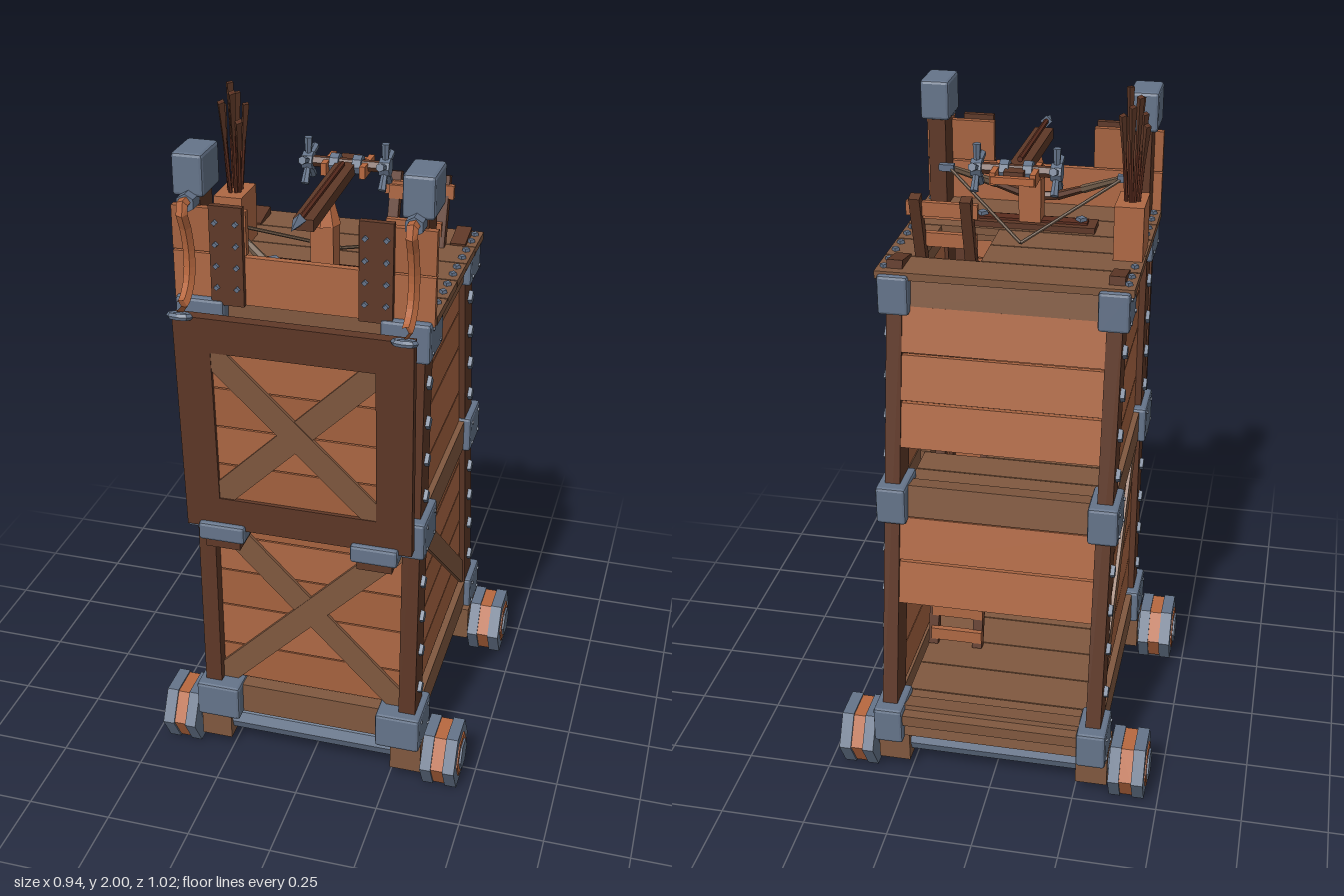
import * as THREE from 'three';
import { RoundedBoxGeometry } from 'three/addons/geometries/RoundedBoxGeometry.js';

const mat = (color) => new THREE.MeshStandardMaterial({ color, flatShading: true });
const M = {
  plank: mat(0xae6844), plank2: mat(0xa5623f), beam: mat(0x80583f), dark: mat(0x5e3827),
  iron: mat(0x65748a), copper: mat(0xb8683f), rope: mat(0x6f5a48), shaft: mat(0x5a2c1e),
};
const V = (x, y, z) => new THREE.Vector3(x, y, z);
const UP = V(0, 1, 0);
const SLOPE = 0.175;
const TILT = Math.atan(SLOPE);
const backZ = (y) => -0.43 + (y - 0.24) * SLOPE; // centre line of the leaning rear posts

export function createModel() {
  const root = new THREE.Group();
  let parent = root;
  const section = (name) => { parent = new THREE.Group(); parent.name = name; root.add(parent); };
  const add = (name, geo, m, x = 0, y = 0, z = 0) => {
    const mesh = new THREE.Mesh(geo, m);
    mesh.name = name;
    mesh.position.set(x, y, z);
    parent.add(mesh);
    return mesh;
  };
  // box given by its limits
  const box = (name, m, x0, x1, y0, y1, z0, z1) => add(name,
    new THREE.BoxGeometry(x1 - x0, y1 - y0, z1 - z0), m, (x0 + x1) / 2, (y0 + y1) / 2, (z0 + z1) / 2);
  const block = (name, x, y, z, w, h, d) => add(name, new RoundedBoxGeometry(w, h, d, 1, 0.009), M.iron, x, y, z);
  const between = (name, geo, m, a, b) => {
    const mesh = add(name, geo, m);
    mesh.position.lerpVectors(a, b, 0.5);
    mesh.quaternion.setFromUnitVectors(UP, b.clone().sub(a).normalize());
    return mesh;
  };
  const bar = (name, m, a, b, w, d) => between(name, new THREE.BoxGeometry(w, a.distanceTo(b), d), m, a, b);
  const rod = (name, m, a, b, r, r2 = r, n = 6) => between(name, new THREE.CylinderGeometry(r2, r, a.distanceTo(b), n), m, a, b);
  const stud = (x, y, z, axis, r = 0.023) => { // four-sided bolt head
    const s = add('bolt', new THREE.CylinderGeometry(r * 0.85, r, 0.014, 4), M.iron, x, y, z);
    if (axis === 'x') s.rotation.z = x > 0 ? -Math.PI / 2 : Math.PI / 2;
    if (axis === 'z') s.rotation.x = Math.PI / 2;
  };
  // side board whose rear edge follows the leaning post
  const sideBoard = (name, m, s, x0, x1, y0, y1, zFront, inset) => {
    const g = new THREE.BoxGeometry(x1 - x0, y1 - y0, 1);
    const p = g.attributes.position, cy = (y0 + y1) / 2;
    for (let i = 0; i < p.count; i++) p.setZ(i, p.getZ(i) > 0 ? zFront : backZ(cy + p.getY(i)) + inset);
    g.computeVertexNormals();
    add(name, g, m, s * (x0 + x1) / 2, cy, 0);
  };

  // wheels and axles
  section('runningGear');
  for (const z of [0.295, -0.408]) {
    rod('axle', M.iron, V(-0.37, 0.095, z), V(0.37, 0.095, z), 0.042, 0.042, 8);
    for (const s of [-1, 1]) {
      box('axleBlock', M.beam, s * 0.3 - 0.047, s * 0.3 + 0.047, 0.04, 0.155, z - 0.055, z + 0.055);
      const layers = [[0.355, 0.388, 0.104, M.iron], [0.388, 0.424, 0.098, M.copper], [0.424, 0.459, 0.104, M.iron],
        [0.459, 0.463, 0.067, M.copper], [0.463, 0.469, 0.047, M.iron]];
      for (const [a, b, r, m] of layers) {
        const w = add('wheel', new THREE.CylinderGeometry(r, r, b - a, 6), m, s * (a + b) / 2, 0.095, z);
        w.rotation.z = Math.PI / 2;
      }
    }
  }

  // base, middle and upper bands with iron corners
  section('frame');
  for (const [y0, y1, dz] of [[0.15, 0.25, -0.01], [0.835, 0.93, 0], [1.44, 1.53, 0]]) {
    const y = (y0 + y1) / 2, zb = backZ(y) + dz;
    box('frontBeam', M.beam, -0.31, 0.31, y0, y1, 0.28, 0.345);
    const rear = box('rearBeam', M.beam, -0.31, 0.31, y0, y1, zb - 0.035, zb + 0.025);
    rear.rotation.x = TILT;
    for (const s of [-1, 1]) {
      sideBoard('sideBeam', M.beam, s, 0.285, 0.325, y0, y1, 0.3, 0);
      block('frontCorner', s * 0.28, y, 0.308, 0.135, 0.115, 0.155);
      block('rearCorner', s * 0.303, y, zb, 0.087, 0.115, 0.138);
      for (const [ey, ez] of [[-0.035, -0.045], [0.035, 0.045], [-0.035, 0.045], [0.035, -0.045]]) {
        stud(s * 0.344, y + ey, 0.308 + ez, 'x', 0.007);
        stud(s * 0.344, y + ey, zb + ez, 'x', 0.007);
      }
    }
  }
  for (const s of [-1, 1]) {
    box('frontPost', M.dark, s * 0.302 - 0.025, s * 0.302 + 0.025, 0.15, 1.85, 0.26, 0.352);
    block('postCap', s * 0.303, 1.875, 0.305, 0.085, 0.115, 0.13);
    bar('rearPost', M.dark, V(s * 0.304, 0.16, backZ(0.16)), V(s * 0.304, 1.565, backZ(1.565) + 0.01), 0.044, 0.097);
    for (const y of [0.33, 0.465, 0.585, 0.705, 0.99, 1.105, 1.22, 1.34]) {
      stud(s * 0.331, y, 0.308, 'x');
      stud(s * 0.331, y + 0.015, backZ(y + 0.015), 'x');
    }
  }

  // side, front and rear planking
  section('walls');
  const lower = [0.26, 0.38, 0.52, 0.645, 0.765, 0.84];
  const upper = [0.92, 1.04, 1.205, 1.33, 1.45];
  for (const rows of [lower, upper]) for (let i = 0; i < rows.length - 1; i++) {
    const y0 = rows[i] + 0.002, y1 = rows[i + 1] - 0.002;
    for (const s of [-1, 1]) sideBoard('sidePlank', i % 2 ? M.plank : M.plank2, s, 0.288, 0.308, y0, y1, 0.285, 0.02);
    if (rows === lower) box('frontPlank', i % 2 ? M.plank : M.plank2, -0.29, 0.29, y0, y1, 0.295, 0.315);
  }
  for (const [y0, y1, n] of [[0.57, 0.84, 2], [1.04, 1.45, 3]]) for (let i = 0; i < n; i++) {
    const h = (y1 - y0) / n, y = y0 + h * (i + 0.5);
    const p = add('rearPlank', new THREE.BoxGeometry(0.57, h - 0.006, 0.022), M.plank, 0, y, backZ(y) - 0.026);
    p.rotation.x = TILT + 0.025;
  }
  for (const s of [-1, 1]) {
    bar('sideBrace', M.beam, V(s * 0.31, 0.835, 0.25), V(s * 0.31, 0.27, -0.4), 0.016, 0.065);
    bar('frontBrace', M.beam, V(s * 0.28, 0.83, 0.32), V(-s * 0.28, 0.26, 0.32), 0.072, 0.012 + s * 0.002);
  }

  // floors and top deck
  section('floors');
  for (const [y, hatch, z0] of [[0.225, false, -0.51], [0.9, true, backZ(0.9)]]) {
    const n = 6, d = (0.3 - z0) / n;
    for (let i = 0; i < n; i++) {
      const a = z0 + d * i + 0.002, b = z0 + d * (i + 1) - 0.002;
      const open = hatch && (i === 2 || i === 3);
      box('floorPlank', M.beam, -0.27, open ? 0.085 : 0.27, y - 0.02, y + 0.015, a, b);
      if (open) box('floorPlank', M.beam, 0.255, 0.29, y - 0.02, y + 0.015, a, b);
    }
  }
  const rows = [-0.268, -0.145, -0.02, 0.102, 0.225, 0.35];
  for (let i = 0; i < 5; i++) {
    const a = rows[i] + 0.002, b = rows[i + 1] - 0.002, open = i === 1 || i === 2;
    box('deckPlank', M.beam, -0.355, open ? 0.085 : 0.355, 1.528, 1.55, a, b);
    if (open) box('deckPlank', M.beam, 0.255, 0.355, 1.528, 1.55, a, b);
    for (const s of [-1, 1]) for (const z of [a + 0.033, b - 0.033]) stud(s * 0.335, 1.552, z, 'y', 0.012);
  }

  // ladders through the hatches
  section('ladders');
  for (const [y0, y1, z0, z1] of [[0.24, 0.93, -0.13, 0.05], [0.915, 1.74, 0.055, -0.185]]) {
    for (const x of [0.115, 0.255]) bar('ladderRail', M.dark, V(x, y0, z0), V(x, y1, z1), 0.03, 0.03);
    for (let i = 0; i < 9; i++) {
      const t = 0.06 + i * 0.11;
      const side = z1 < z0 ? 0.016 : -0.016;
      add('ladderRung', new THREE.BoxGeometry(0.16, 0.04, 0.018), M.plank, 0.18, y0 + (y1 - y0) * t, z0 + (z1 - z0) * t + side);
    }
  }
  box('ladderTopRung', M.plank, 0.087, 0.285, 1.68, 1.72, -0.172, -0.155);

  // front parapet
  section('parapet');
  box('parapetBoard', M.plank, -0.353, 0.353, 1.53, 1.665, 0.345, 0.365);
  for (const s of [-1, 1]) {
    box('parapetUpperBoard', M.plank2, Math.min(s * 0.15, s * 0.353), Math.max(s * 0.15, s * 0.353), 1.67, 1.79, 0.345, 0.365);
    box('parapetStrap', M.dark, s * 0.2 - 0.045, s * 0.2 + 0.045, 1.53, 1.805, 0.363, 0.381);
    for (const y of [1.58, 1.64, 1.7, 1.76]) for (const d of [-0.028, 0.028]) stud(s * 0.2 + d, y, 0.383, 'z', 0.009);
  }

  // drawbridge with its hinges
  section('drawbridge');
  const bridge = parent;
  for (const s of [-1, 1]) {
    box('bridgeStile', M.dark, s * 0.274 - 0.05, s * 0.274 + 0.05, 0, 0.66, -0.015, 0.015);
    box('bridgeRail', M.dark, -0.225, 0.225, 0.33 + s * 0.28 - 0.05, 0.33 + s * 0.28 + 0.05, -0.015, 0.015);
    bar('bridgeBrace', M.beam, V(s * 0.23, 0.1, 0.004), V(-s * 0.23, 0.56, 0.004), 0.07, 0.016 + s * 0.002);
  }
  for (let i = 0; i < 4; i++) box('bridgePlank', i % 2 ? M.plank : M.plank2, -0.24, 0.24, 0.092 + i * 0.12, 0.208 + i * 0.12, -0.012, 0.004);
  bridge.position.set(0, 0.87, 0.422);
  bridge.rotation.x = 0.052;
  section('hinges');
  for (const s of [-1, 1]) {
    box('hingeBracket', M.dark, s * 0.22 - 0.05, s * 0.22 + 0.05, 0.805, 0.85, 0.34, 0.44);
    block('hinge', s * 0.22, 0.86, 0.425, 0.135, 0.055, 0.06);
  }

  // hanging hooks that hold the bridge
  section('hooks');
  for (const s of [-1, 1]) {
    const path = [[1.81, 0.35], [1.81, 0.425], [1.74, 0.4], [1.66, 0.385], [1.59, 0.4], [1.55, 0.45], [1.57, 0.5]];
    const curve = new THREE.CatmullRomCurve3(path.map(([y, z]) => V(s * 0.3, y, z)));
    add('hook', new THREE.TubeGeometry(curve, 18, 0.016, 5), M.copper);
    rod('hookMount', M.iron, V(s * 0.3, 1.81, 0.33), V(s * 0.3, 1.81, 0.4), 0.026);
    const ring = add('hookRing', new THREE.TorusGeometry(0.028, 0.009, 5, 8), M.iron, s * 0.3, 1.53, 0.475);
    ring.rotation.x = Math.PI / 2.3;
    ring.scale.y = 0.6;
  }

  // quiver with arrows
  section('quiver');
  box('quiverBox', M.plank, -0.35, -0.268, 1.55, 1.705, -0.068, 0.06);
  for (let i = 0; i < 8; i++) {
    const a = i * 2.4, c = Math.cos(a), n = Math.sin(a);
    const front = i % 3 === 0; // a smaller bunch leans forward
    const lo = V(-0.309 + c * 0.012, 1.62, -0.005 + n * 0.012);
    const hi = V(-0.309 + c * 0.036, 1.92 + (i % 4) * 0.027, front ? 0.047 + n * 0.01 : -0.018 + n * 0.022);
    rod('arrowShaft', M.shaft, lo, hi, 0.006);
    const f = rod('arrowFeather', M.dark, hi.clone().lerp(lo, 0.4), hi, 0.008, 0.018, 4);
    f.scale.x = 0.6;
  }

  // mounted crossbow
  section('crossbow');
  box('mountPlate', M.dark, -0.19, 0.19, 1.55, 1.567, 0.115, 0.192);
  box('mountPlateTop', M.shaft, -0.165, 0.165, 1.567, 1.574, 0.135, 0.172);
  for (const s of [-1, 1]) stud(s * 0.145, 1.577, 0.155, 'y', 0.018);
  box('mountPost', M.plank, -0.032, 0.032, 1.57, 1.7, 0.122, 0.186);
  add('mountHead', new THREE.CylinderGeometry(0.026, 0.045, 0.065, 8), M.copper, 0, 1.732, 0.155);
  bar('stock', M.dark, V(0, 1.785, -0.12), V(0, 1.765, 0.35), 0.055, 0.032);
  rod('boltShaft', M.shaft, V(0, 1.805, -0.02), V(0, 1.79, 0.4), 0.008);
  rod('boltHead', M.iron, V(0, 1.79, 0.38), V(0, 1.787, 0.45), 0.018, 0.001, 4);
  // bow with its limbs rising to the tips
  const grip = V(0, 1.59, 0.295), nock = V(0, 1.56, -0.015);
  for (const s of [-1, 1]) {
    const limb = [grip, V(s * 0.05, 1.592, 0.3), V(s * 0.13, 1.625, 0.28), V(s * 0.255, 1.69, 0.208)];
    for (let i = 0; i < 3; i++) rod('bowLimb', i === 2 ? M.rope : M.dark, limb[i], limb[i + 1], 0.015 - i * 0.001, 0.013 - i * 0.002);
    box('limbTip', M.iron, s * 0.262 - 0.022, s * 0.262 + 0.022, 1.68, 1.7, 0.197, 0.217);
    rod('bowString', M.rope, limb[3], nock, 0.005);
    box('winchArm', M.copper, s * 0.055 - 0.008, s * 0.055 + 0.008, 1.765, 1.8, -0.13, -0.02);
    rod('winchDrum', M.iron, V(s * 0.02, 1.79, -0.065), V(s * 0.045, 1.79, -0.065), 0.028, 0.028, 8);
    rod('winchHub', M.iron, V(s * 0.095, 1.79, -0.065), V(s * 0.125, 1.79, -0.065), 0.026, 0.026, 8);
    for (let i = 0; i < 5; i++) {
      const a = i * Math.PI * 0.4 + 0.3;
      rod('winchSpoke', M.iron, V(s * 0.11, 1.79, -0.065), V(s * 0.11, 1.79 + Math.sin(a) * 0.067, -0.065 + Math.cos(a) * 0.067), 0.008, 0.012);
    }
  }
  rod('winchAxle', M.dark, V(-0.11, 1.79, -0.065), V(0.11, 1.79, -0.065), 0.016);
  box('winchCrossbar', M.copper, -0.06, 0.06, 1.77, 1.79, -0.135, -0.118);
  return root;
}
